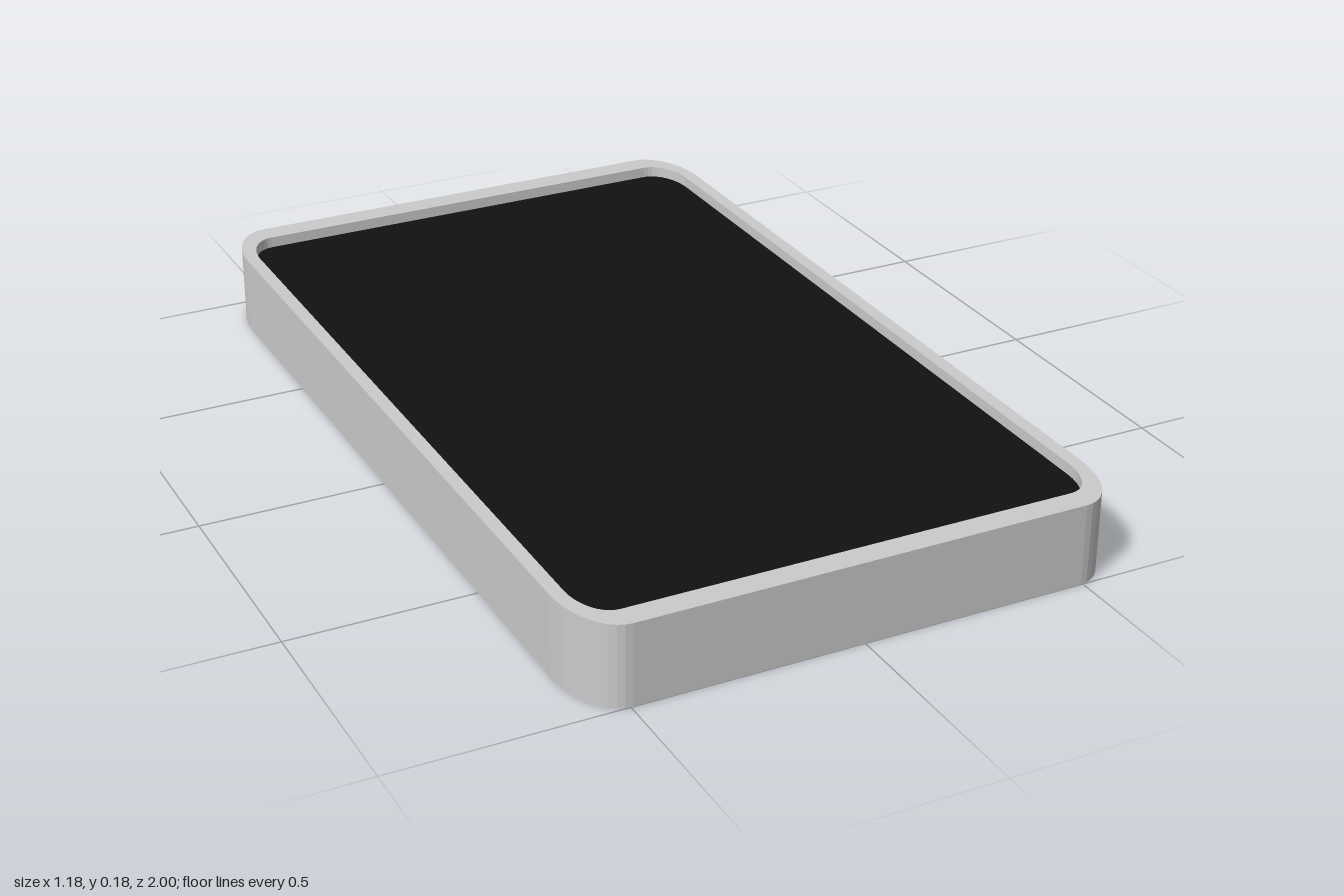
import * as THREE from 'three';

const HEIGHT = 0.18, SCREEN_Y = 0.155;
const CX = 0.495, CZ = 0.84; // shared corner centres of both outlines
const SEGMENTS = 5;

// Rounded rectangle with elliptical corners of radii rx, rz
function outline(rx, rz, Kind = THREE.Shape) {
  const s = new Kind();
  const corners = [[1, 1], [-1, 1], [-1, -1], [1, -1]];
  s.moveTo(CX + rx, CZ);
  corners.forEach(([sx, sz], i) => {
    const a = i * Math.PI / 2;
    s.absellipse(sx * CX, sz * CZ, rx, rz, a, a + Math.PI / 2, false, 0);
  });
  s.closePath();
  return s;
}

export function createModel() {
  const group = new THREE.Group();
  const grey = new THREE.MeshStandardMaterial({ color: 0xcccccc });
  const black = new THREE.MeshStandardMaterial({ color: 0x111111 });

  const add = (name, geometry, material) => {
    const mesh = new THREE.Mesh(geometry, material);
    mesh.name = name;
    group.add(mesh);
  };

  // Frame: outer walls and rim around the recess
  const ring = outline(0.095, 0.16);
  ring.holes.push(outline(0.065, 0.105, THREE.Path));
  const frame = new THREE.ExtrudeGeometry(ring, { depth: HEIGHT, bevelEnabled: false, curveSegments: SEGMENTS });
  add('frame', frame.rotateX(-Math.PI / 2), grey);

  // Back panel closes the underside
  const back = new THREE.ShapeGeometry(outline(0.065, 0.105), SEGMENTS);
  add('backPanel', back.rotateX(Math.PI / 2), grey);

  // Screen sunk slightly below the rim
  const screen = new THREE.ShapeGeometry(outline(0.065, 0.105), SEGMENTS);
  add('screen', screen.rotateX(-Math.PI / 2).translate(0, SCREEN_Y, 0), black);

  return group;
}
